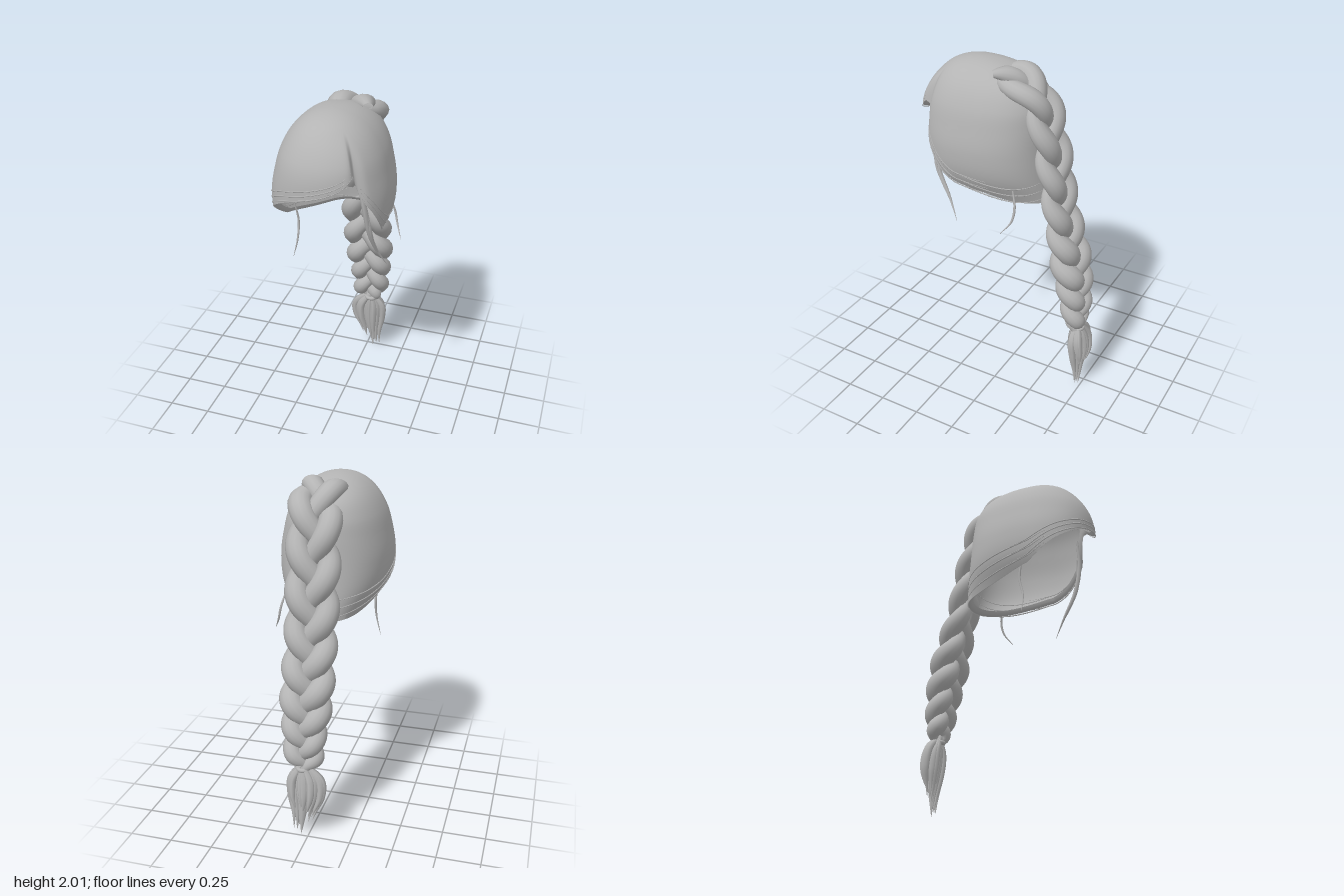
import * as THREE from 'three';
import { ParametricGeometry } from 'three/addons/geometries/ParametricGeometry.js';

const hair = new THREE.MeshStandardMaterial({ color: 0xb4b4b4, side: THREE.DoubleSide });
hair.name = 'hairGrey';

const { smoothstep, clamp, degToRad } = THREE.MathUtils;
const V = (x, y, z) => new THREE.Vector3(x, y, z);
const curveOf = pts => new THREE.CatmullRomCurve3(pts.map(p => (p.isVector3 ? p : V(...p))));

// Smooth interpolation through [key, value] pairs
function smooth(keys, t) {
  const n = keys.length;
  let i = 0;
  while (i < n - 2 && t > keys[i + 1][0]) i++;
  const slope = k => {
    const a = keys[Math.max(k - 1, 0)], b = keys[Math.min(k + 1, n - 1)];
    return (b[1] - a[1]) / (b[0] - a[0]);
  };
  const [x0, y0] = keys[i], [x1, y1] = keys[i + 1];
  const d = x1 - x0, s = clamp((t - x0) / d, 0, 1), s2 = s * s, s3 = s2 * s;
  return (2 * s3 - 3 * s2 + 1) * y0 + (s3 - 2 * s2 + s) * d * slope(i)
    + (3 * s2 - 2 * s3) * y1 + (s3 - s2) * d * slope(i + 1);
}

// Cap half-widths by height, keyed by the root of the depth below the crown
const depths = [0, 0.173, 0.316, 0.447, 0.548, 0.67, 0.775, 0.866];
const profile = radii => radii.map((r, i) => [depths[i], r]);
const sideR = profile([0, 0.125, 0.21, 0.268, 0.296, 0.318, 0.3, 0.22]);
const frontR = profile([0, 0.15, 0.24, 0.295, 0.315, 0.315, 0.3, 0.27]);
const backR = profile([0, 0.2, 0.34, 0.4, 0.415, 0.425, 0.44, 0.46]);

// Height of the hairline by angle from the front, on either side of the parting
const PART = 39;
const fringe = [[-180, 1.245], [-130, 1.26], [-95, 1.33], [-60, 1.47], [-30, 1.57], [0, 1.64], [25, 1.7], [PART, 1.76]];
const sidePanel = [[PART, 1.76], [46, 1.62], [58, 1.52], [75, 1.41], [95, 1.335], [130, 1.265], [180, 1.245]];

// Point on the cap: angle in degrees, v from crown (0) to hairline (1)
function capPoint(deg, v, scale = 1, lift = 0) {
  const rim = smooth(deg <= PART ? fringe : sidePanel, deg);
  const h = Math.sqrt(2 - rim) * v, a = degToRad(deg);
  const low = smoothstep(v, 0.45, 0.95);
  const sweep = low * (0.02 * smoothstep(deg, -100, -40) * (1 - smoothstep(deg, PART - 3, PART + 3))
    - 0.025 * Math.exp(-(((deg - PART - 4) / 6) ** 2)));
  const s = Math.sin(a), c = Math.cos(a), e = c > 0 ? 0.95 : 0.83;
  const round = t => Math.sign(t) * Math.abs(t) ** e;
  const x = round(s) * (smooth(sideR, h) + sweep) * scale;
  const z = 0.2 + round(c) * (smooth(c > 0 ? frontR : backR, h) + sweep) * scale;
  return V(x, 2 - h * h + lift, z);
}

// Tube whose radius follows rule r(u); squash(u, offset) may flatten its section
function taperedTube(curve, segs, sides, r, squash = () => {}) {
  const g = new THREE.TubeGeometry(curve, segs, 1, sides);
  const pos = g.attributes.position, p = V(0, 0, 0), q = V(0, 0, 0);
  for (let i = 0; i < pos.count; i++) {
    const u = Math.floor(i / (sides + 1)) / segs;
    curve.getPointAt(u, p);
    q.fromBufferAttribute(pos, i).sub(p).multiplyScalar(r(u));
    squash(u, q);
    q.add(p);
    pos.setXYZ(i, q.x, q.y, q.z);
  }
  return g;
}

export function createModel() {
  const model = new THREE.Group();
  model.name = 'braidedHair';
  const add = (name, geometry, parent = model) => {
    const m = new THREE.Mesh(geometry, hair);
    m.name = name;
    parent.add(m);
    return m;
  };
  const group = name => {
    const g = new THREE.Group();
    g.name = name;
    model.add(g);
    return g;
  };

  // Open cap, with its edge rolled inwards
  add('hairCap', new ParametricGeometry((u, v, target) => {
    const roll = Math.max(0, (v - 0.9) / 0.1);
    target.copy(capPoint(180 - 360 * u, clamp(v / 0.9, 0.001, 1), 1 - 0.08 * roll, 0.03 * roll * roll));
  }, 144, 40));

  // Fine locks along the hairline and the parting
  const locks = group('hairlineLocks');
  const lockRuns = [[-170, -70], [-110, 10], [-65, 36], [47, 110], [80, 172]];
  lockRuns.forEach(([from, to], run) => {
    for (let k = 0; k < 3; k++) {
      const pts = [];
      for (let i = 0; i <= 12; i++) {
        const t = i / 12;
        pts.push(capPoint(from + (to - from) * t, 0.99 - 0.035 * k - 0.02 * Math.sin(t * Math.PI + run), 1.001));
      }
      add('hairlineLock', taperedTube(curveOf(pts), 32, 5, u => 0.001 + 0.003 * Math.sin(Math.PI * u)), locks);
    }
  });

  // Three-strand braid, flatter against the head and tighter towards the end
  const braid = group('braid');
  const spine = curveOf([[0.06, 1.945, 0.05], [0.05, 1.93, -0.06], [0.04, 1.825, -0.18], [0.03, 1.62, -0.24],
    [0.025, 1.4, -0.285], [0.025, 1.2, -0.315], [0.025, 1, -0.362], [0.03, 0.7, -0.425], [0.035, 0.43, -0.455]]);
  const taper = u => 1 - 0.24 * smoothstep(u, 0.72, 0.95) - 0.4 * smoothstep(u, 0.955, 1);
  const depth = u => 0.68 + 0.25 * smoothstep(u, 0.5, 0.75);
  const inward = u => {
    const t = spine.getTangentAt(u);
    return V(0, t.z, -t.y).normalize();
  };
  for (let s = 0; s < 3; s++) {
    const phase = u => Math.PI * 2 * (2.3 * u + 0.61 * u ** 4 + s / 3);
    const pts = [];
    for (let i = 0; i <= 90; i++) {
      const u = i / 90, p = spine.getPointAt(u), a = phase(u);
      p.x += 0.09 * taper(u) * Math.sin(a);
      pts.push(p.addScaledVector(inward(u), 0.036 * taper(u) * depth(u) * Math.sin(2 * a)));
    }
    const bulge = u => (0.055 + 0.014 * Math.abs(Math.sin(phase(u)))) * taper(u) * Math.min(1, 0.4 + u * 20);
    add('braidStrand', taperedTube(curveOf(pts), 180, 14, bulge, (u, q) => {
      const n = inward(u);
      q.addScaledVector(n, (depth(u) - 1) * q.dot(n));
    }), braid);
  }

  // Tie around the end of the braid
  const tie = add('braidTie', new THREE.TorusGeometry(0.032, 0.013, 8, 20));
  tie.rotation.x = Math.PI / 2;
  tie.position.set(0.035, 0.425, -0.455);

  // Loose tail below the tie: flattened ring of tapering locks
  const tail = group('braidTail');
  for (let i = 0; i < 20; i++) {
    const a = i * 2.4, k = 0.45 + 0.55 * ((i * 7) % 10) / 9;
    const dx = Math.cos(a) * k, dz = Math.sin(a) * k, end = 0.03 + 0.17 * ((i * 3) % 8) / 7;
    const path = curveOf([[0.035 + dx * 0.02, 0.44, -0.455 + dz * 0.02],
      [0.03 + dx * 0.1, 0.36, -0.465 + dz * 0.04], [0.028 + dx * 0.105, 0.26, -0.475 + dz * 0.046],
      [0.033 + dx * 0.075, 0.12 + end * 0.4, -0.48 + dz * 0.03], [0.04 + dx * 0.065, end, -0.482 + dz * 0.015]]);
    add('tailLock', taperedTube(path, 20, 6, u => 0.001 + 0.02 * Math.sin(Math.PI * Math.pow(u, 0.7)) + 0.006 * (1 - u)), tail);
  }
  add('tailCore', taperedTube(curveOf([[0.035, 0.43, -0.455], [0.03, 0.3, -0.47], [0.035, 0.15, -0.48], [0.045, 0, -0.482]]),
    20, 8, u => 0.001 + 0.03 * Math.sin(Math.PI * Math.pow(u, 0.6)) + 0.01 * (1 - u)), tail);

  // Loose wisps hanging from the hairline
  const wisps = group('looseWisps');
  const wispPaths = [
    [0.013, [0.19, 1.72, 0.385], [0.225, 1.55, 0.385], [0.245, 1.38, 0.345], [0.265, 1.24, 0.27], [0.305, 1.12, 0.2]],
    [0.008, [0.22, 1.6, 0.37], [0.25, 1.42, 0.36], [0.26, 1.3, 0.31], [0.275, 1.2, 0.25]],
    [0.006, [-0.25, 1.4, 0.16], [-0.235, 1.27, 0.14], [-0.237, 1.16, 0.16], [-0.265, 1.04, 0.16]],
    [0.006, [0.23, 1.36, -0.12], [0.255, 1.27, -0.145], [0.275, 1.19, -0.135], [0.31, 1.12, -0.085]],
  ];
  for (const [r, ...pts] of wispPaths)
    add('wisp', taperedTube(curveOf(pts), 28, 6, u => 0.001 + r * Math.sin(Math.PI * (0.15 + 0.85 * u))), wisps);

  return model;
}
